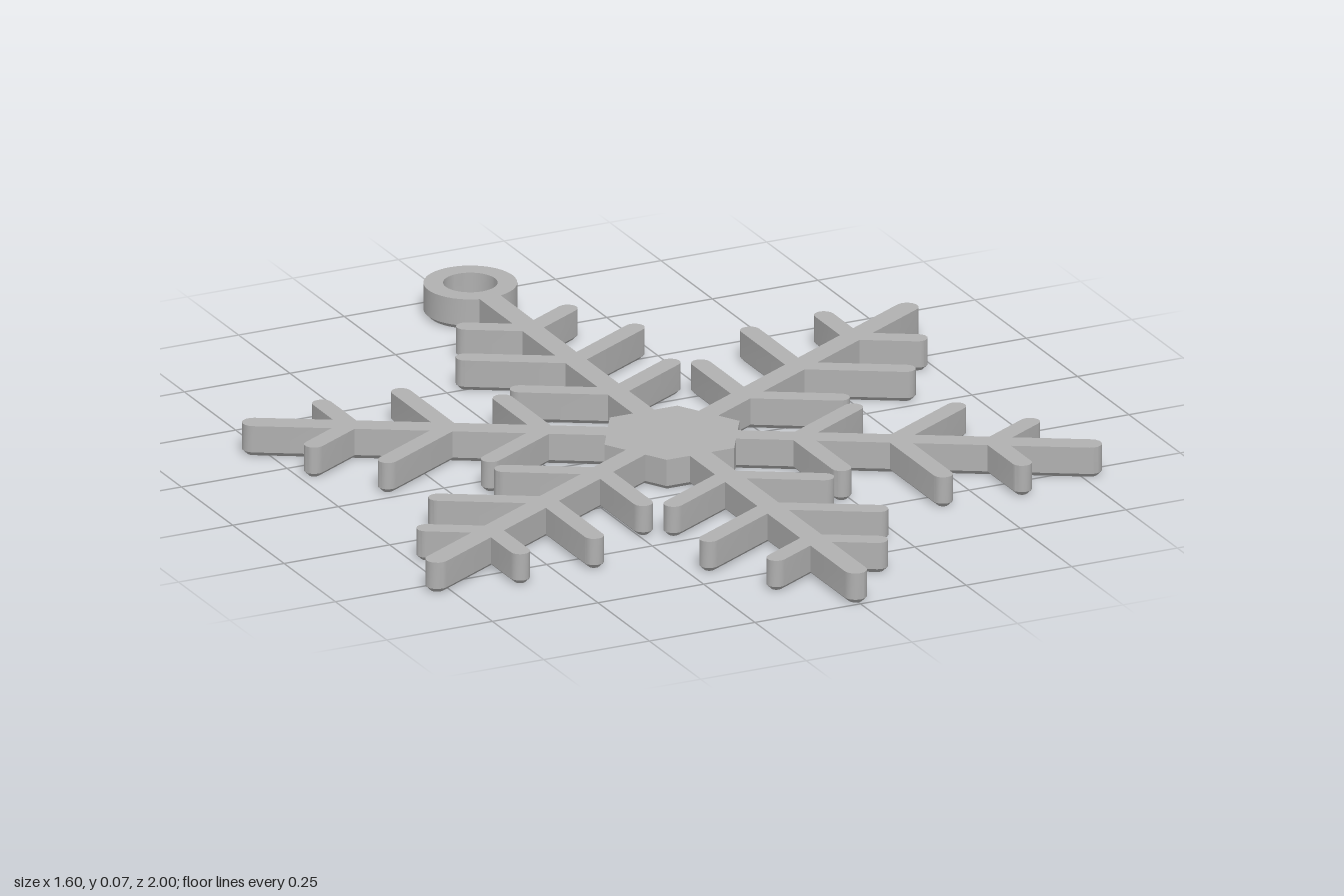
import * as THREE from 'three';
import { toCreasedNormals } from 'three/addons/utils/BufferGeometryUtils.js';

const HEIGHT = 0.07, CHAMFER = 0.01;
const CENTRE_Z = 0.082;            // hub position
const HUB = 0.16;                  // hub corner radius
const ARM_W = 0.025, ARM_END = 0.893;
const TWIG_W = 0.0215;
const TWIGS = [[0.271, 0.206], [0.477, 0.231], [0.686, 0.139]]; // root, length
const RING = { at: 0.982, outer: 0.1, inner: 0.058 };

const V = (x, y) => new THREE.Vector2(x, y);

// Points on an arc, both ends included
function arc(cx, cy, r, from, to, steps) {
  return Array.from({ length: steps + 1 }, (_, i) => {
    const a = from + (to - from) * i / steps;
    return V(cx + r * Math.cos(a), cy + r * Math.sin(a));
  });
}

// One edge of an arm lying along +x, with its twigs leaning 60 degrees outwards
function armEdge() {
  const c = 0.5, s = Math.sqrt(3) / 2;
  const pts = [V(HUB * s, ARM_W)];
  for (const [root, len] of TWIGS) {
    const near = (ARM_W - c * TWIG_W) / s, far = (ARM_W + c * TWIG_W) / s;
    pts.push(V(root - s * TWIG_W + c * near, ARM_W));
    pts.push(...arc(root + c * len, s * len, TWIG_W, Math.PI * 5 / 6, -Math.PI / 6, 8));
    pts.push(V(root + s * TWIG_W + c * far, ARM_W));
  }
  return pts;
}

// Counter-clockwise outline of the whole flake
function flakeOutline() {
  const left = armEdge();
  const right = left.map(p => V(p.x, -p.y));
  const tip = arc(ARM_END, 0, ARM_W, -Math.PI / 2, Math.PI / 2, 8);
  const b = Math.asin(ARM_W / RING.outer);
  const loop = arc(RING.at, 0, RING.outer, Math.PI + b, 3 * Math.PI - b, 40);
  const outline = [];
  for (let i = 0; i < 6; i++) {
    const angle = Math.PI / 6 + i * Math.PI / 3;
    const arm = [...right, ...(i === 1 ? loop : tip), ...left.slice().reverse()];
    arm.push(V(HUB * Math.cos(Math.PI / 6), HUB * Math.sin(Math.PI / 6)));
    for (const p of arm) outline.push(p.clone().rotateAround(V(0, 0), angle));
  }
  return outline;
}

// Shrinks an outline evenly towards the solid side
function inset(loop, d) {
  const n = loop.length;
  const normal = (a, b) => {
    const e = b.clone().sub(a).normalize();
    return V(-e.y, e.x);
  };
  return loop.map((p, i) => {
    const n1 = normal(loop[(i + n - 1) % n], p), n2 = normal(p, loop[(i + 1) % n]);
    const k = d / (1 + n1.dot(n2));
    return p.clone().add(n1.add(n2).multiplyScalar(k));
  });
}

// Upright plate with a chamfered bottom rim
function plate(outline, hole) {
  const pos = [];
  const put = (p, y) => pos.push(p.x, y, CENTRE_Z - p.y);
  const band = (low, y0, high, y1) => low.forEach((a, i) => {
    const j = (i + 1) % low.length;
    put(a, y0); put(low[j], y0); put(high[j], y1);
    put(a, y0); put(high[j], y1); put(high[i], y1);
  });
  const cap = (loops, y, up) => {
    const all = loops.flat();
    for (const [a, b, c] of THREE.ShapeUtils.triangulateShape(loops[0].slice(), [loops[1].slice()])) {
      const ccw = all[b].clone().sub(all[a]).cross(all[c].clone().sub(all[a])) > 0;
      for (const k of ccw === up ? [a, b, c] : [a, c, b]) put(all[k], y);
    }
  };
  const loops = [outline, hole];
  const small = loops.map(l => inset(l, CHAMFER));
  loops.forEach((l, i) => {
    band(small[i], 0, l, CHAMFER);
    band(l, CHAMFER, l, HEIGHT);
  });
  cap(loops, HEIGHT, true);
  cap(small, 0, false);
  const geo = new THREE.BufferGeometry();
  geo.setAttribute('position', new THREE.Float32BufferAttribute(pos, 3));
  return toCreasedNormals(geo, 0.5);
}

export function createModel() {
  const grey = new THREE.MeshStandardMaterial({ color: 0xb0b0b0 });
  grey.name = 'grey';

  // Clockwise hole inside the hanging ring
  const hole = arc(0, RING.at, RING.inner, 2 * Math.PI, 0, 40).slice(0, -1);
  const flake = new THREE.Mesh(plate(flakeOutline(), hole), grey);
  flake.name = 'snowflakeWithHangingRing';

  const group = new THREE.Group();
  group.name = 'snowflakeOrnament';
  group.add(flake);
  return group;
}
